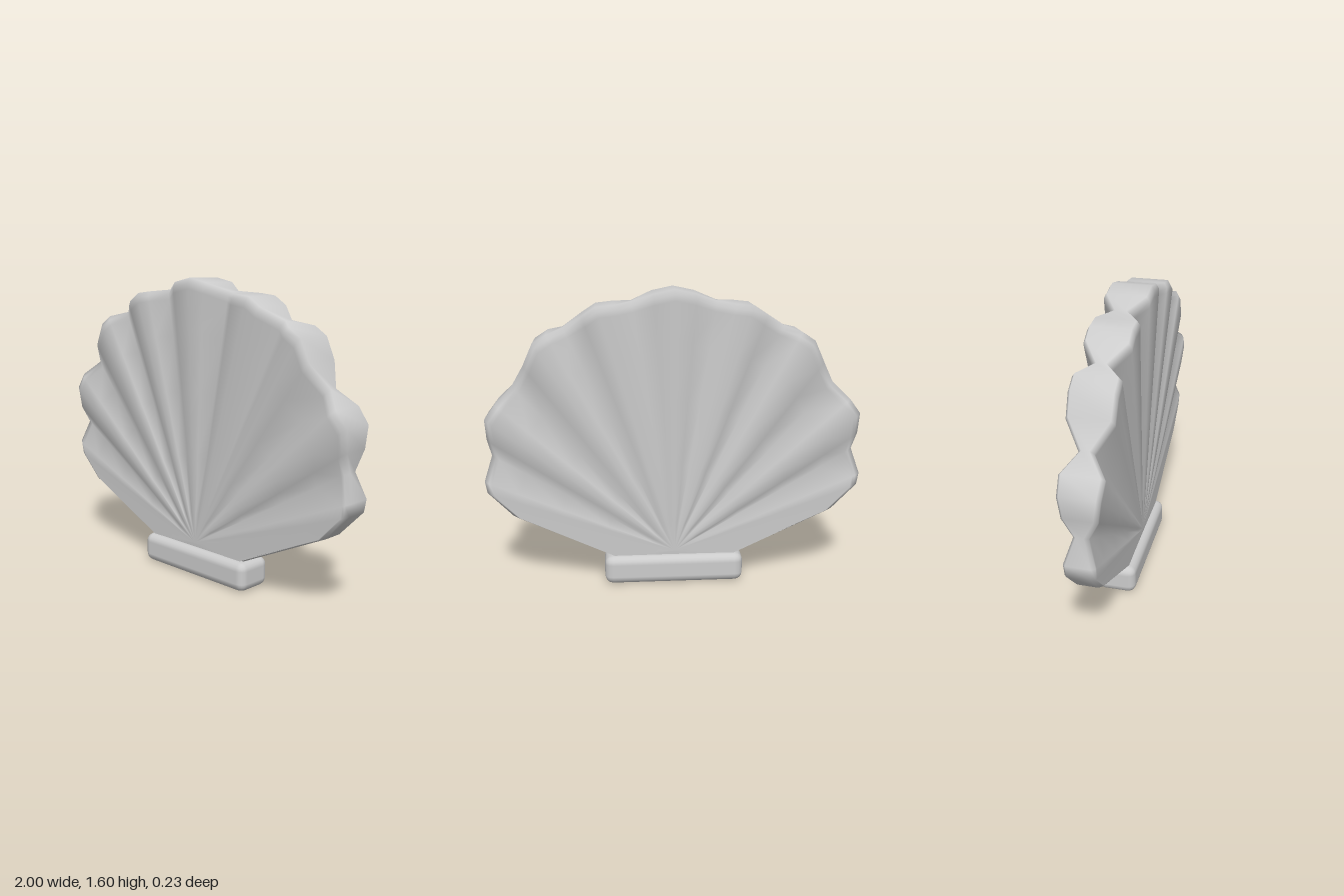
import * as THREE from 'three';
import { RoundedBoxGeometry } from 'three/addons/geometries/RoundedBoxGeometry.js';

const HINGE_Y = 0.18;     // the ribs fan out from here
const HINGE_Z = 0.065;    // half thickness at the hinge

// Rim of the left half, top to bottom: x, y, half thickness (thin = groove)
const HALF_RIM = [
  [0.11, 1.572, 0.115], [0.22, 1.53, 0.045],
  [0.31, 1.52, 0.115], [0.40, 1.51, 0.115], [0.47, 1.465, 0.115], [0.57, 1.40, 0.04],
  [0.65, 1.375, 0.115], [0.72, 1.33, 0.115], [0.77, 1.22, 0.113], [0.84, 1.10, 0.035],
  [0.92, 1.02, 0.106], [0.98, 0.94, 0.10], [0.975, 0.83, 0.085], [0.96, 0.73, 0.035],
  [1.0, 0.60, 0.076], [0.99, 0.535, 0.073], [0.86, 0.40, 0.068],
  [0.34, 0.155, 0.065], [0.30, 0.10, 0.06],
];

function shellGeometry() {
  const mirrored = HALF_RIM.map(([x, y, z]) => [-x, y, z]).reverse();
  const rim = [[0, 1.595, 0.115], ...HALF_RIM, ...mirrored];
  const n = rim.length;
  const pos = [0, HINGE_Y, HINGE_Z];
  const index = [];

  // A ring of points at a fraction of the way from hinge to rim
  const ring = (fraction, side, inset, trim) => {
    for (const [x, y, z] of rim) {
      const r = Math.hypot(x, y - HINGE_Y);
      const s = fraction * (1 - inset / r);
      const depth = THREE.MathUtils.lerp(HINGE_Z, z, s) - trim;
      pos.push(x * s, HINGE_Y + (y - HINGE_Y) * s, side * depth);
    }
  };

  // Front face, rim wall with soft bevels, back face
  const steps = [0.12, 0.35, 0.6, 0.82, 0.96];
  steps.forEach((s) => ring(s, 1, 0, 0));
  ring(1, 1, 0.025, 0);
  ring(1, 1, 0, 0.016);
  ring(1, -1, 0, 0.016);
  ring(1, -1, 0.025, 0);
  [...steps].reverse().forEach((s) => ring(s, -1, 0, 0));
  const rings = 2 * steps.length + 4;
  const last = pos.length / 3;
  pos.push(0, HINGE_Y, -HINGE_Z);

  for (let i = 0; i < n; i++) {
    const j = (i + 1) % n;
    index.push(0, 1 + j, 1 + i);
    for (let k = 0; k < rings - 1; k++) {
      const a = 1 + k * n, b = a + n;
      index.push(a + i, a + j, b + j, a + i, b + j, b + i);
    }
    const end = 1 + (rings - 1) * n;
    index.push(last, end + i, end + j);
  }

  const geometry = new THREE.BufferGeometry();
  geometry.setAttribute('position', new THREE.Float32BufferAttribute(pos, 3));
  geometry.setIndex(index);
  geometry.computeVertexNormals();
  return geometry;
}

export function createModel() {
  const group = new THREE.Group();
  group.name = 'scallopShell';
  const material = new THREE.MeshStandardMaterial({ color: 0xcccccc });

  // Ribbed fan
  const fan = new THREE.Mesh(shellGeometry(), material);
  fan.name = 'ribbedFan';
  group.add(fan);

  // Rounded hinge bar the fan stands on
  const base = new THREE.Mesh(new RoundedBoxGeometry(0.755, 0.158, 0.21, 2, 0.045), material);
  base.name = 'hingeBase';
  base.position.set(0.004, 0.079, 0);
  group.add(base);

  return group;
}
